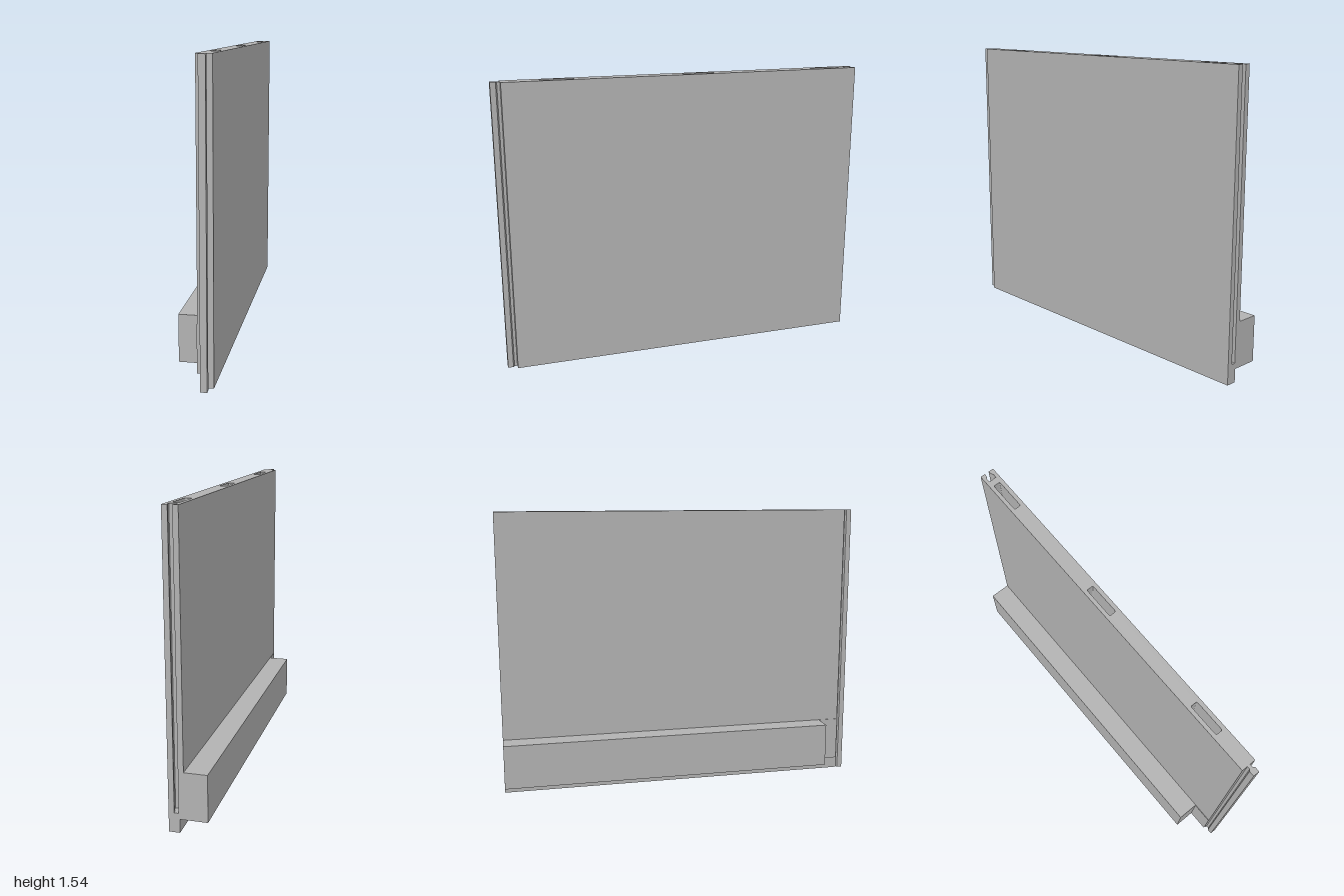
import * as THREE from 'three';

const panelGrey = new THREE.MeshStandardMaterial({ color: 0xb2b2b2 });
panelGrey.name = 'panelGrey';

// plan outline given as [x, z] pairs, counter-clockwise seen from above
const plan = pts => new THREE.Shape(pts.map(([x, z]) => new THREE.Vector2(x, -z)));

export function createModel() {
  const group = new THREE.Group();

  function add(name, geometry) {
    const mesh = new THREE.Mesh(geometry, panelGrey);
    mesh.name = name;
    group.add(mesh);
  }
  // vertical extrusion of a plan outline between two heights
  function rise(name, shape, y0, y1) {
    const g = new THREE.ExtrudeGeometry(shape, { depth: y1 - y0, bevelEnabled: false, curveSegments: 6 });
    g.rotateX(-Math.PI / 2).translate(0, y0, 0);
    add(name, g);
  }
  // box from its limits
  function block(name, x0, x1, y0, y1, z0, z1) {
    const g = new THREE.BoxGeometry(x1 - x0, y1 - y0, z1 - z0);
    g.translate((x0 + x1) / 2, (y0 + y1) / 2, (z0 + z1) / 2);
    add(name, g);
  }
  // rounded slot opening
  function slot(z0, z1) {
    const a = 0.038, b = 0.074, r = 0.008, p = new THREE.Path();
    const lo = -z1, hi = -z0;
    p.moveTo(a + r, lo);
    p.lineTo(b - r, lo).quadraticCurveTo(b, lo, b, lo + r);
    p.lineTo(b, hi - r).quadraticCurveTo(b, hi, b - r, hi);
    p.lineTo(a + r, hi).quadraticCurveTo(a, hi, a, hi - r);
    p.lineTo(a, lo + r).quadraticCurveTo(a, lo, a + r, lo);
    return p;
  }

  // panel with a dovetail groove in the back edge and slots in the top
  const body = plan([
    [0.018, 0.95], [0.095, 0.95], [0.095, -1], [0.067, -1], [0.069, -0.985], [0.077, -0.97],
    [0.077, -0.95], [0.035, -0.95], [0.035, -0.97], [0.043, -0.985], [0.045, -1], [0.018, -1],
  ]);
  for (const [z0, z1] of [[-0.915, -0.742], [-0.17, 0.003], [0.582, 0.755]]) body.holes.push(slot(z0, z1));
  rise('panel', body, 0.1, 1.54);

  // solid foot, stepped back under the ledge side
  block('panelBase', 0.018, 0.095, 0.07, 0.1, -1, 0.95);
  block('panelFoot', 0.04, 0.095, 0, 0.07, -1, 0.95);

  // tongue along the front edge
  rise('tongue', plan([
    [0.048, 0.945], [0.048, 0.965], [0.04, 0.972], [0.04, 1],
    [0.073, 1], [0.073, 0.972], [0.064, 0.965], [0.064, 0.945],
  ]), 0, 1.54);

  // ledge and the thin backing strip behind it
  block('ledge', -0.098, 0.018, 0.07, 0.31, -1, 0.835);
  block('ledgeBacking', 0.015, 0.02, 0.07, 0.31, 0.83, 0.95);

  return group;
}
